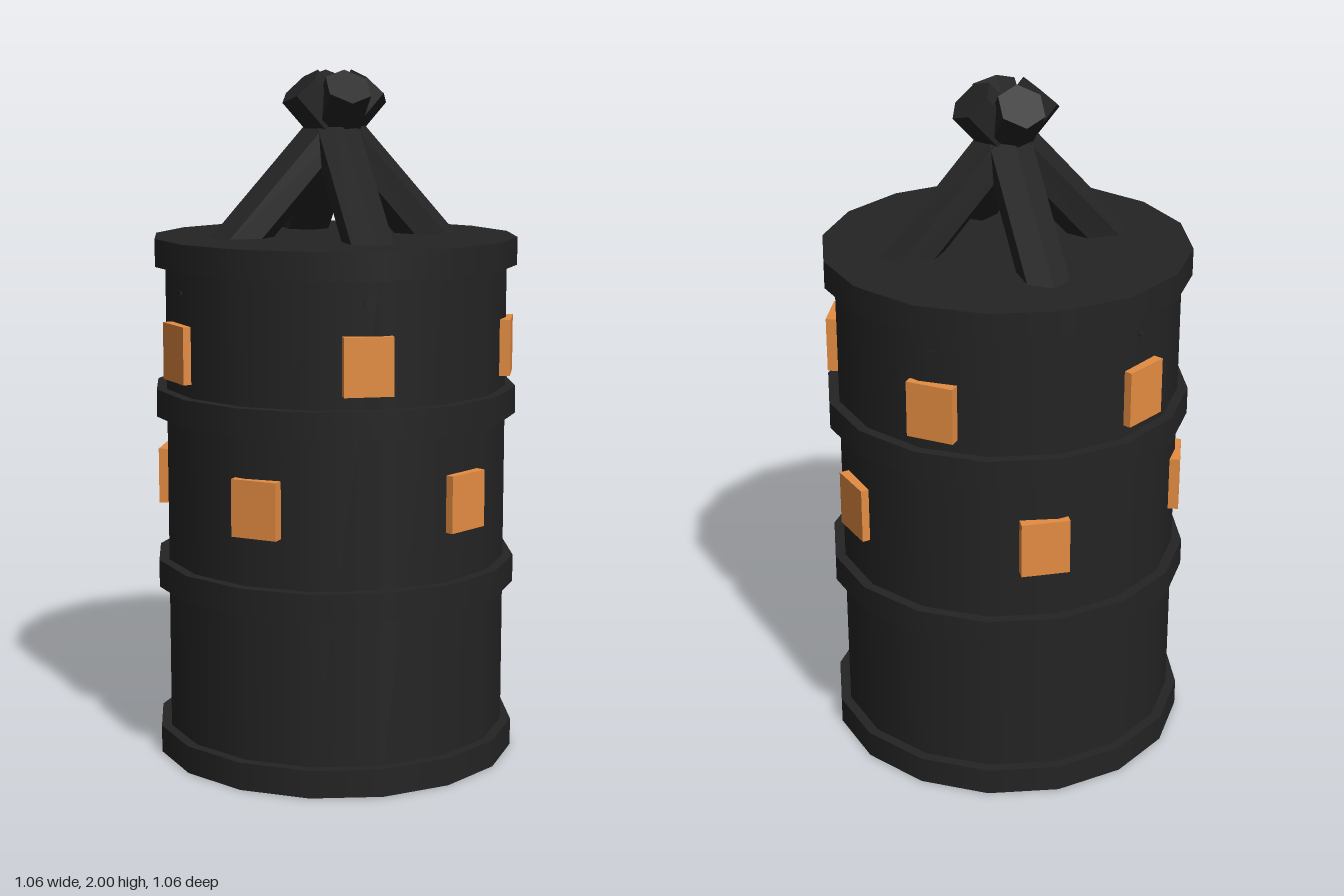
import * as THREE from 'three';

const SIDES = 16;

export function createModel() {
  const model = new THREE.Group();
  const charcoal = new THREE.MeshStandardMaterial({ color: 0x242424 });
  charcoal.name = 'charcoal';
  const amber = new THREE.MeshStandardMaterial({ color: 0xe58d42 });
  amber.name = 'amber';

  const add = (parent, name, geometry, material) => {
    const mesh = new THREE.Mesh(geometry, material);
    mesh.name = name;
    parent.add(mesh);
    return mesh;
  };

  // Drum body
  add(model, 'body', new THREE.CylinderGeometry(0.5, 0.5, 1.48, SIDES), charcoal).position.y = 0.76;

  // Four hoops around the drum
  const hoop = new THREE.CylinderGeometry(0.53, 0.53, 0.08, SIDES);
  [0.04, 0.545, 1.05, 1.483].forEach((y) => {
    add(model, 'hoop', hoop, charcoal).position.y = y;
  });

  // Two staggered rows of five window plates, with a small lug above the upper row
  const pane = new THREE.BoxGeometry(0.06, 0.163, 0.138);
  const lug = new THREE.BoxGeometry(0.03, 0.01, 0.02);
  const place = (mesh, angle, radius, y) => {
    mesh.position.set(Math.cos(angle) * radius, y, Math.sin(angle) * radius);
    mesh.rotation.y = -angle;
  };
  for (let i = 0; i < 5; i++) {
    const angle = (i * Math.PI * 2) / 5;
    place(add(model, 'upperWindow', pane, amber), angle, 0.487, 1.21);
    place(add(model, 'lowerWindow', pane, amber), angle + Math.PI / 5, 0.487, 0.808);
    place(add(model, 'lug', lug, charcoal), angle, 0.482, 1.38);
  }

  // Four hexagonal poles leaning together and crossing at the top
  const foot = new THREE.Vector3(0.28, 1.523, -0.02);
  const head = new THREE.Vector3(-0.105, 1.95, 0.012);
  const axis = head.clone().sub(foot).normalize();
  const start = foot.clone().addScaledVector(axis, -0.08);
  const poleGeometry = new THREE.CylinderGeometry(0.07, 0.07, start.distanceTo(head), 6).toNonIndexed();
  poleGeometry.computeVertexNormals();
  poleGeometry.rotateY(Math.PI / 2);
  for (let i = 0; i < 4; i++) {
    const pivot = new THREE.Group();
    pivot.name = 'poleMount';
    pivot.rotation.y = Math.PI / 8 + (i * Math.PI) / 2;
    const pole = add(pivot, 'pole', poleGeometry, charcoal);
    pole.position.copy(start).add(head).multiplyScalar(0.5);
    pole.quaternion.setFromUnitVectors(new THREE.Vector3(0, 1, 0), axis);
    model.add(pivot);
  }

  return model;
}
